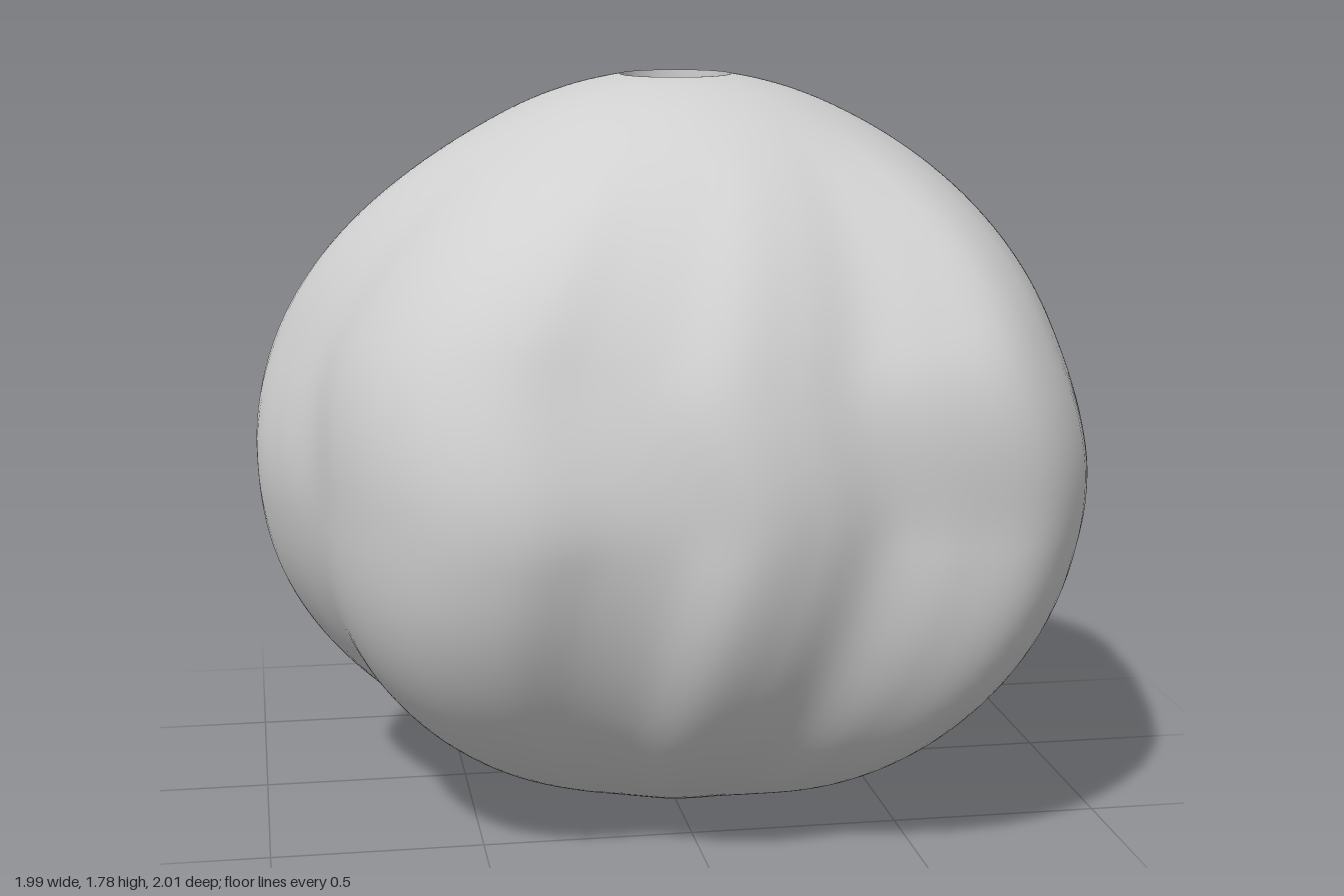
import * as THREE from 'three';

const RADIUS = 0.9, HOLE = 0.135, HALF_HEIGHT = 0.89, TWIST = 0.3;
const { smoothstep } = THREE.MathUtils;

// Radius of the widest ring every 10 degrees, from the front (+z) round towards +x
const LOBES = [
  0.93, 0.92, 0.917, 1.0, 1.08, 1.072, 1.025, 0.985, 0.966, 0.96, 0.975, 0.938,
  0.932, 0.98, 0.957, 0.928, 0.972, 1.065, 1.072, 1.035, 0.965, 0.877, 0.862, 0.9,
  0.912, 0.93, 0.998, 1.03, 0.995, 0.968, 0.995, 1.022, 1.03, 0.995, 0.92, 0.897,
];

// Smooth periodic interpolation of the lobes
function lobeRadius(angle) {
  const n = LOBES.length;
  const t = (((angle / (2 * Math.PI)) % 1) + 1) % 1 * n;
  const i = Math.floor(t), f = t - i;
  const [a, b, c, d] = [-1, 0, 1, 2].map((k) => LOBES[(i + k + n) % n]);
  return b + 0.5 * f * (c - a + f * (2 * a - 5 * b + 4 * c - d + f * (3 * (b - c) + d - a)));
}

// Sphere with ridges that lean, step back above the middle and end in smooth caps
function ridgedBall(segments, rings) {
  const positions = [], indices = [];
  const limit = Math.acos(HOLE / RADIUS);
  for (let j = 0; j <= rings; j++) {
    const lat = -limit + (2 * limit * j) / rings;
    const fade = 1 - smoothstep(Math.abs(lat + 0.1), 0.1, 1.25);
    const shift = TWIST * RADIUS * Math.sin(lat) + 0.04 - 0.16 * smoothstep(lat, -0.1, 0.35);
    for (let i = 0; i < segments; i++) {
      const angle = (i / segments) * Math.PI * 2;
      const r = RADIUS + (lobeRadius(angle - shift) - RADIUS) * fade;
      const flat = r * Math.cos(lat);
      positions.push(flat * Math.sin(angle), r * Math.sin(lat), flat * Math.cos(angle));
      if (j < rings) {
        const a = j * segments + i, b = j * segments + ((i + 1) % segments);
        indices.push(a, b, b + segments, a, b + segments, a + segments);
      }
    }
  }
  const geometry = new THREE.BufferGeometry();
  geometry.setAttribute('position', new THREE.Float32BufferAttribute(positions, 3));
  geometry.setIndex(indices);
  geometry.computeVertexNormals();
  return geometry;
}

export function createModel() {
  const grey = new THREE.MeshStandardMaterial({ color: 0xd0d0d0, side: THREE.DoubleSide });
  grey.name = 'grey';

  const bead = new THREE.Group();
  bead.name = 'bead';

  const body = new THREE.Mesh(ridgedBall(180, 90), grey);
  body.name = 'ridgedBody';

  // Straight bore from top to bottom
  const bore = new THREE.Mesh(
    new THREE.CylinderGeometry(HOLE, HOLE, HALF_HEIGHT * 2, 60, 1, true), grey);
  bore.name = 'bore';

  bead.add(body, bore);
  bead.position.set(0.03, HALF_HEIGHT, 0.075);

  const model = new THREE.Group();
  model.name = 'twistedBead';
  model.add(bead);
  return model;
}
